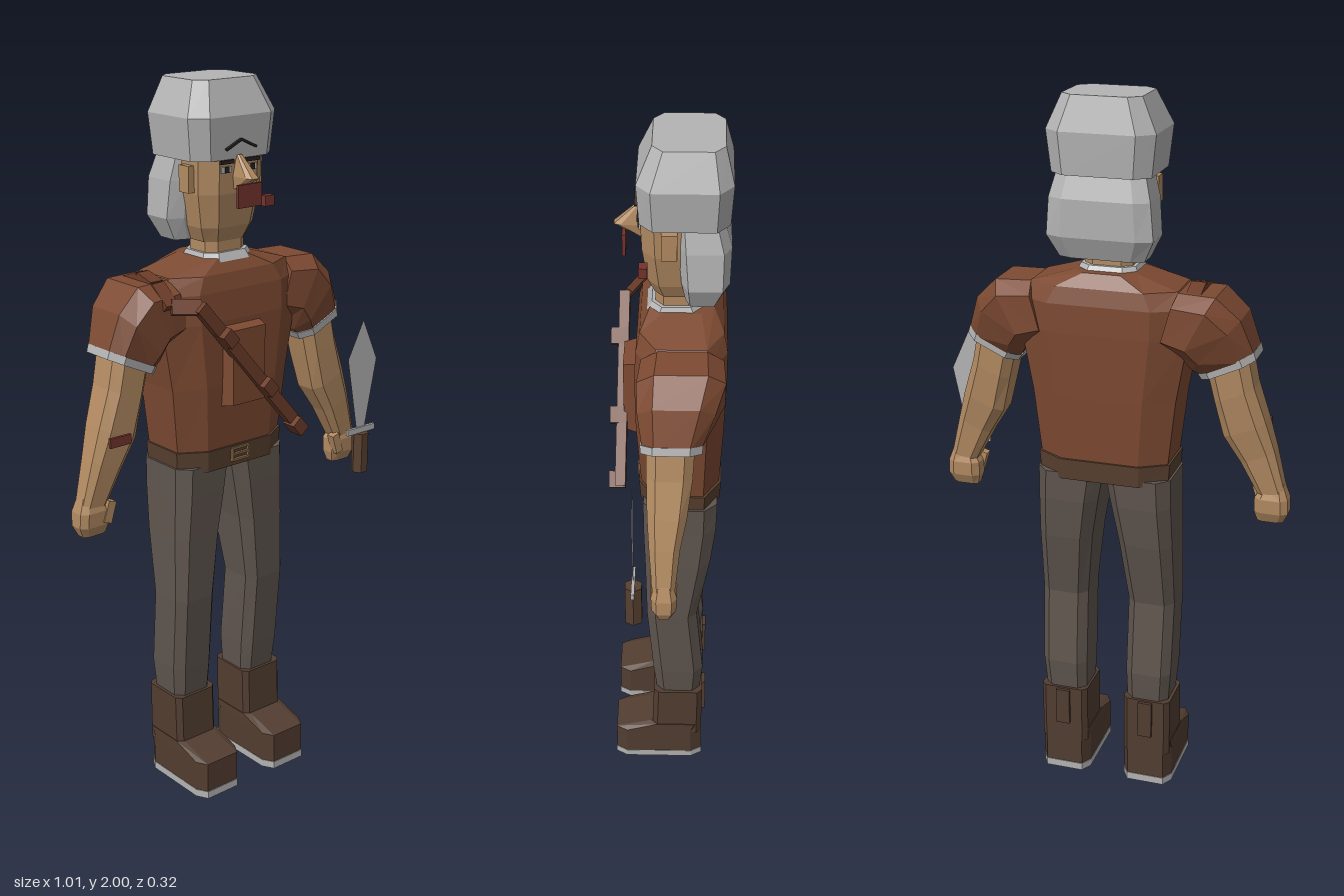
import * as THREE from 'three';

const material = (name, color, side = THREE.FrontSide) =>
  Object.assign(new THREE.MeshStandardMaterial({ color, side, flatShading: true }), { name });

const M = {
  tunic: material('tunic brown', 0x7d4a32),
  strap: material('strap leather', 0x6d3d29),
  belt: material('belt leather', 0x58402f),
  boot: material('boot brown', 0x523d30),
  trousers: material('trouser grey', 0x5f554e),
  skin: material('skin', 0xb38b62),
  grey: material('pale grey', 0xb4b4b4, THREE.DoubleSide),
  red: material('dark red', 0x74342c),
  dark: material('dark detail', 0x2a2220),
  buckle: material('buckle tan', 0x8a6a4a),
};

// Chamfered cross-sections listed bottom to top: [x, y, zFront, zBack, halfWidth, tilt]
function loft(sections, { k = 0.6, side = 1 } = {}) {
  const ring = [[1, k], [1, -k], [k, -1], [-k, -1], [-1, -k], [-1, k], [-k, 1], [k, 1]];
  const n = ring.length, pos = [], idx = [];
  for (const [x, y, zf, zb, w, t = 0] of sections) {
    for (const [u, v] of ring) {
      pos.push(side * (x + u * w * Math.cos(t)), y + u * w * Math.sin(t),
        (zf + zb) / 2 + v * (zf - zb) / 2);
    }
  }
  const tri = (a, b, c) => (side > 0 ? idx.push(a, b, c) : idx.push(a, c, b));
  for (let s = 0; s < sections.length - 1; s++) {
    for (let i = 0; i < n; i++) {
      const a = s * n + i, b = s * n + (i + 1) % n;
      tri(a, b, b + n);
      tri(a, b + n, a + n);
    }
  }
  const top = (sections.length - 1) * n;
  for (let i = 1; i < n - 1; i++) {
    tri(0, i + 1, i);
    tri(top, top + i, top + i + 1);
  }
  const g = new THREE.BufferGeometry();
  g.setAttribute('position', new THREE.Float32BufferAttribute(pos, 3));
  g.setIndex(idx);
  const flat = g.toNonIndexed();
  flat.computeVertexNormals();
  return flat;
}

export function createModel() {
  const root = new THREE.Group();
  root.name = 'swordsman';
  const body = new THREE.Group();
  body.name = 'body';
  body.position.x = -0.012;
  root.add(body);

  const add = (name, geometry, mat, parent = body) => {
    const mesh = new THREE.Mesh(geometry, mat);
    mesh.name = name;
    parent.add(mesh);
    return mesh;
  };
  const box = (name, mat, w, h, d, x, y, z) => {
    const mesh = add(name, new THREE.BoxGeometry(w, h, d), mat);
    mesh.position.set(x, y, z);
    return mesh;
  };
  // Rectangular bar running between two points
  const bar = (name, mat, a, b, w, d) => {
    const p = new THREE.Vector3(...a), q = new THREE.Vector3(...b);
    const mesh = add(name, new THREE.BoxGeometry(w, p.distanceTo(q), d), mat);
    mesh.position.copy(p).lerp(q, 0.5);
    mesh.quaternion.setFromUnitVectors(new THREE.Vector3(0, 1, 0), q.sub(p).normalize());
    return mesh;
  };

  // Torso, belt and buckle
  add('tunic', loft([
    [0, 1.0, 0.075, -0.135, 0.178], [0, 1.2, 0.088, -0.145, 0.2],
    [0, 1.38, 0.09, -0.15, 0.232], [0, 1.46, 0.085, -0.15, 0.235],
    [0, 1.505, 0.075, -0.14, 0.2], [0, 1.54, 0.05, -0.115, 0.085],
  ]), M.tunic);
  add('belt', loft([[0, 0.96, 0.078, -0.138, 0.182], [0, 1.02, 0.082, -0.142, 0.186]]), M.belt);
  for (const y of [0.98, 0.997, 1.014]) box('buckleBar', M.buckle, 0.06, 0.006, 0.012, 0, y - 0.002, 0.082);
  for (const x of [-0.028, 0.028]) box('buckleSide', M.buckle, 0.006, 0.04, 0.012, x, 0.995, 0.082);

  // Chest panel with bevelled front
  const panel = new THREE.BoxGeometry(0.135, 0.23, 0.05);
  const pp = panel.attributes.position;
  for (let i = 0; i < pp.count; i++) {
    if (pp.getZ(i) > 0) pp.setXY(i, pp.getX(i) * 0.82, pp.getY(i) * 0.9);
  }
  panel.computeVertexNormals();
  add('chestPanel', panel, M.tunic).position.set(-0.003, 1.255, 0.098);

  // Baldric across the chest and over the shoulder
  bar('baldric', M.strap, [-0.175, 1.445, 0.125], [0.17, 1.045, 0.13], 0.034, 0.028);
  const over = [[-0.165, 1.44, 0.12], [-0.235, 1.445, 0.085], [-0.24, 1.495, 0.03],
    [-0.24, 1.51, -0.03], [-0.24, 1.485, -0.1]];
  for (let i = 0; i < over.length - 1; i++) bar('shoulderStrap', M.strap, over[i], over[i + 1], 0.04, 0.02);
  for (const [x, y] of [[-0.095, 1.352], [0.045, 1.19], [0.155, 1.055]]) {
    box('baldricClasp', M.strap, 0.035, 0.045, 0.045, x, y, 0.138).rotation.z = 0.71;
  }

  // Neck, collar and head
  add('collar', loft([[0, 1.53, 0.058, -0.095, 0.085], [0, 1.552, 0.045, -0.08, 0.075]]), M.grey);
  add('neck', loft([[0, 1.53, 0.036, -0.07, 0.066], [0, 1.65, 0.036, -0.07, 0.066]]), M.skin);
  add('head', loft([
    [0, 1.58, 0.038, -0.08, 0.07], [0, 1.62, 0.055, -0.09, 0.088],
    [0, 1.71, 0.069, -0.1, 0.105], [0, 1.83, 0.074, -0.1, 0.108],
  ]), M.skin);
  add('nose', loft([
    [0, 1.722, 0.08, 0.055, 0.014], [0, 1.755, 0.14, 0.055, 0.018], [0, 1.81, 0.08, 0.055, 0.008],
  ]), M.skin);
  box('mouth', M.red, 0.08, 0.06, 0.009, 0, 1.71, 0.115);
  box('earring', M.red, 0.032, 0.028, 0.022, 0.106, 1.677, 0.065);
  for (const s of [-1, 1]) {
    box('ear', M.skin, 0.025, 0.07, 0.04, s * 0.112, 1.75, 0.0);
    box('eye', M.grey, 0.034, 0.016, 0.006, s * 0.043, 1.775, 0.073);
    box('pupil', M.dark, 0.013, 0.016, 0.006, s * 0.043, 1.775, 0.076);
    box('eyebrow', M.dark, 0.044, 0.01, 0.008, s * 0.043, 1.795, 0.077);
    bar('foreheadMark', M.dark, [0, 1.85, 0.083], [s * 0.05, 1.827, 0.083], 0.006, 0.008);
  }

  // Cap and long hair behind the neck
  add('cap', loft([
    [0, 1.8, 0.074, -0.15, 0.134], [0, 1.91, 0.081, -0.157, 0.146], [0, 2.0, 0.042, -0.135, 0.106],
  ], { k: 0.7 }), M.grey);
  add('backHair', loft([
    [0, 1.58, -0.04, -0.125, 0.115], [0, 1.64, -0.03, -0.152, 0.144],
    [0, 1.74, -0.022, -0.155, 0.136], [0, 1.81, -0.02, -0.135, 0.118],
  ], { k: 0.7 }), M.grey);

  // Arms and legs, mirrored
  for (const side of [-1, 1]) {
    const limb = (name, mat, sections, k = 0.6) => add(name, loft(sections, { side, k }), mat);

    limb('sleeve', M.tunic, [
      [0.328, 1.305, 0.062, -0.085, 0.079, 0.437], [0.3, 1.365, 0.075, -0.12, 0.097, 0.85],
      [0.258, 1.413, 0.078, -0.145, 0.096, 1.1], [0.18, 1.425, 0.07, -0.14, 0.08, 1.3],
    ]);
    limb('sleeveCuff', M.grey, [
      [0.331, 1.293, 0.066, -0.088, 0.08, 0.437], [0.322, 1.313, 0.068, -0.09, 0.083, 0.437],
    ]);
    limb('arm', M.skin, [
      [0.452, 0.93, 0.036, -0.022, 0.036, 0.25], [0.41, 1.04, 0.045, -0.035, 0.05, 0.4],
      [0.374, 1.12, 0.05, -0.052, 0.062, 0.4], [0.345, 1.22, 0.052, -0.065, 0.058, 0.4],
      [0.325, 1.31, 0.052, -0.07, 0.06, 0.437],
    ]);
    limb('fist', M.skin, [
      [0.448, 0.85, 0.025, -0.012, 0.036], [0.451, 0.88, 0.038, -0.026, 0.047],
      [0.45, 0.92, 0.04, -0.028, 0.046], [0.452, 0.955, 0.03, -0.018, 0.03, 0.2],
    ]);
    box('thumb', M.skin, 0.025, 0.06, 0.025, side * 0.412, 0.912, 0.03).rotation.z = side * 0.3;

    limb('trouserLeg', M.trousers, [
      [0.123, 0.25, 0.033, -0.09, 0.06], [0.126, 0.36, 0.045, -0.1, 0.066],
      [0.128, 0.58, 0.062, -0.08, 0.067], [0.116, 0.77, 0.066, -0.115, 0.077],
      [0.104, 0.89, 0.07, -0.13, 0.086], [0.096, 0.975, 0.07, -0.132, 0.093],
    ], 0.65);
    limb('bootShaft', M.boot, [
      [0.125, 0.1, 0.05, -0.098, 0.069], [0.125, 0.275, 0.044, -0.1, 0.069],
    ], 0.8);
    limb('bootFoot', M.boot, [
      [0.125, 0.02, 0.158, -0.098, 0.072], [0.125, 0.11, 0.158, -0.098, 0.072],
      [0.125, 0.137, 0.055, -0.098, 0.071],
    ], 0.75);
    limb('sole', M.grey, [
      [0.125, 0, 0.16, -0.1, 0.073], [0.125, 0.022, 0.16, -0.1, 0.073],
    ], 0.75);
    box('bootTab', M.boot, 0.04, 0.11, 0.012, side * 0.125, 0.215, -0.103);
  }
  box('wristBand', M.red, 0.066, 0.026, 0.009, -0.395, 1.115, 0.07);

  // Short sword held upright in the left hand
  const sword = new THREE.Group();
  sword.name = 'sword';
  sword.position.set(0.448, 0, 0.085);
  root.add(sword);
  const blade = new THREE.Shape([[-0.016, 0.96], [0.016, 0.96], [0.057, 1.165], [0, 1.29], [-0.057, 1.18]]
    .map(([x, y]) => new THREE.Vector2(x, y)));
  add('blade', new THREE.ShapeGeometry(blade), M.grey, sword);
  add('guard', new THREE.BoxGeometry(0.108, 0.018, 0.009), M.grey, sword).position.y = 0.957;
  const grip = new THREE.CylinderGeometry(0.025, 0.025, 0.12, 6);
  grip.rotateY(Math.PI / 6);
  add('grip', grip, M.belt, sword).position.y = 0.889;

  return root;
}
